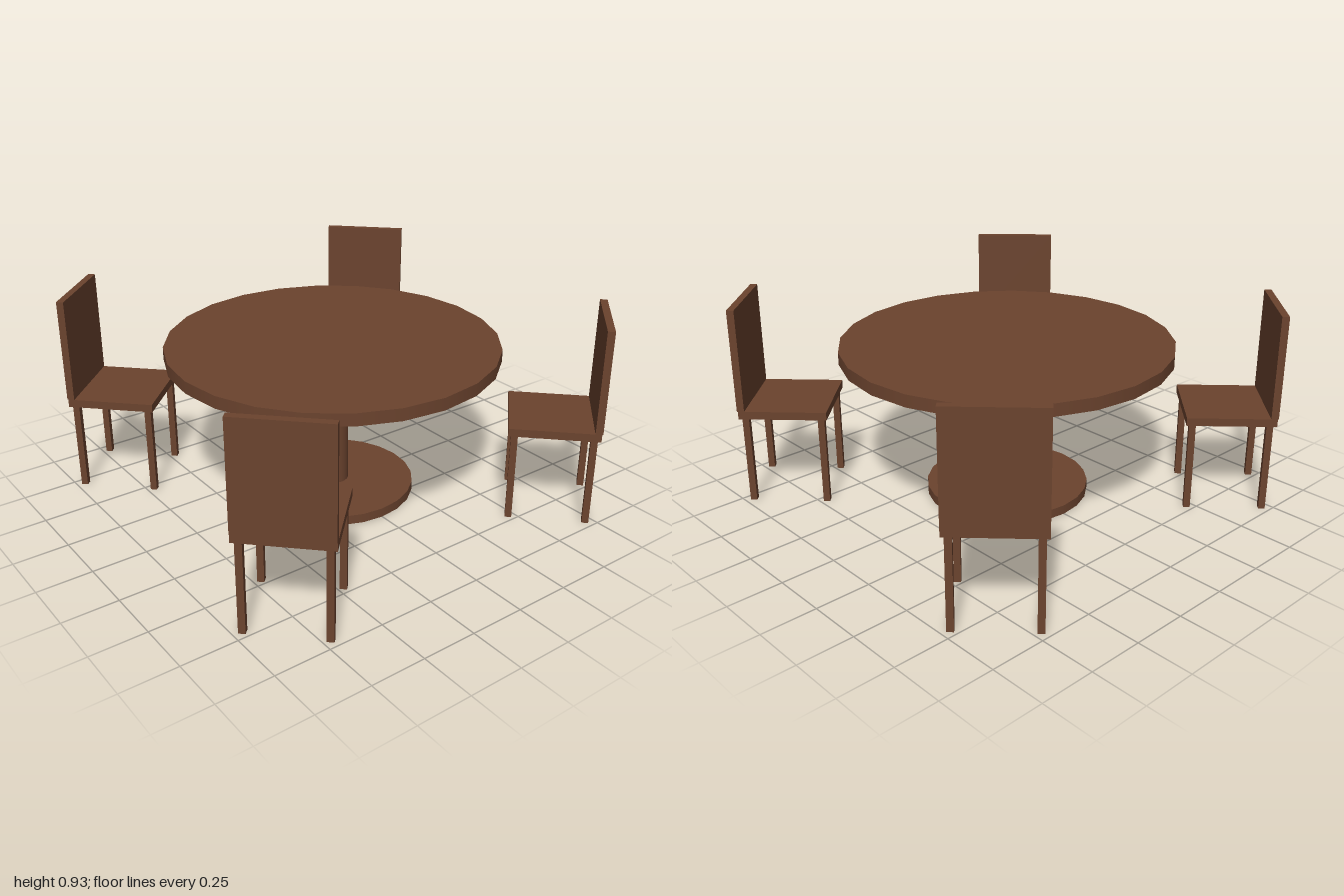
import * as THREE from 'three';

const wood = new THREE.MeshStandardMaterial({ color: 0x6b432e });
wood.name = 'brown wood';

function add(parent, name, geometry, x, y, z) {
  const mesh = new THREE.Mesh(geometry, wood);
  mesh.name = name;
  mesh.position.set(x, y, z);
  parent.add(mesh);
}

// Upright disc or post between two heights
function addRound(parent, name, radius, y0, y1) {
  const geometry = new THREE.CylinderGeometry(radius, radius, y1 - y0, 24);
  add(parent, name, geometry, 0, (y0 + y1) / 2, 0);
}

// Chair with its back toward local +z
function createChair() {
  const chair = new THREE.Group();
  chair.name = 'chair';
  add(chair, 'seat', new THREE.BoxGeometry(0.401, 0.037, 0.401), 0, 0.4365, 0);
  add(chair, 'backrest', new THREE.BoxGeometry(0.401, 0.478, 0.033), 0, 0.694, 0.188);
  for (const x of [-0.172, 0.172]) {
    for (const z of [-0.172, 0.172]) {
      add(chair, 'chairLeg', new THREE.BoxGeometry(0.03, 0.418, 0.03), x, 0.209, z);
    }
  }
  return chair;
}

export function createModel() {
  const model = new THREE.Group();
  model.name = 'diningSet';

  // Pedestal table
  const table = new THREE.Group();
  table.name = 'table';
  addRound(table, 'tableTop', 0.763, 0.687, 0.744);
  addRound(table, 'pedestal', 0.074, 0.043, 0.687);
  addRound(table, 'tableBase', 0.381, 0, 0.043);
  model.add(table);

  // Four chairs on the diagonals, facing the table
  for (let i = 0; i < 4; i++) {
    const angle = Math.PI / 4 + (i * Math.PI) / 2;
    const chair = createChair();
    chair.position.set(Math.sin(angle) * 1.009, 0, Math.cos(angle) * 1.009);
    chair.rotation.y = angle;
    model.add(chair);
  }
  return model;
}
